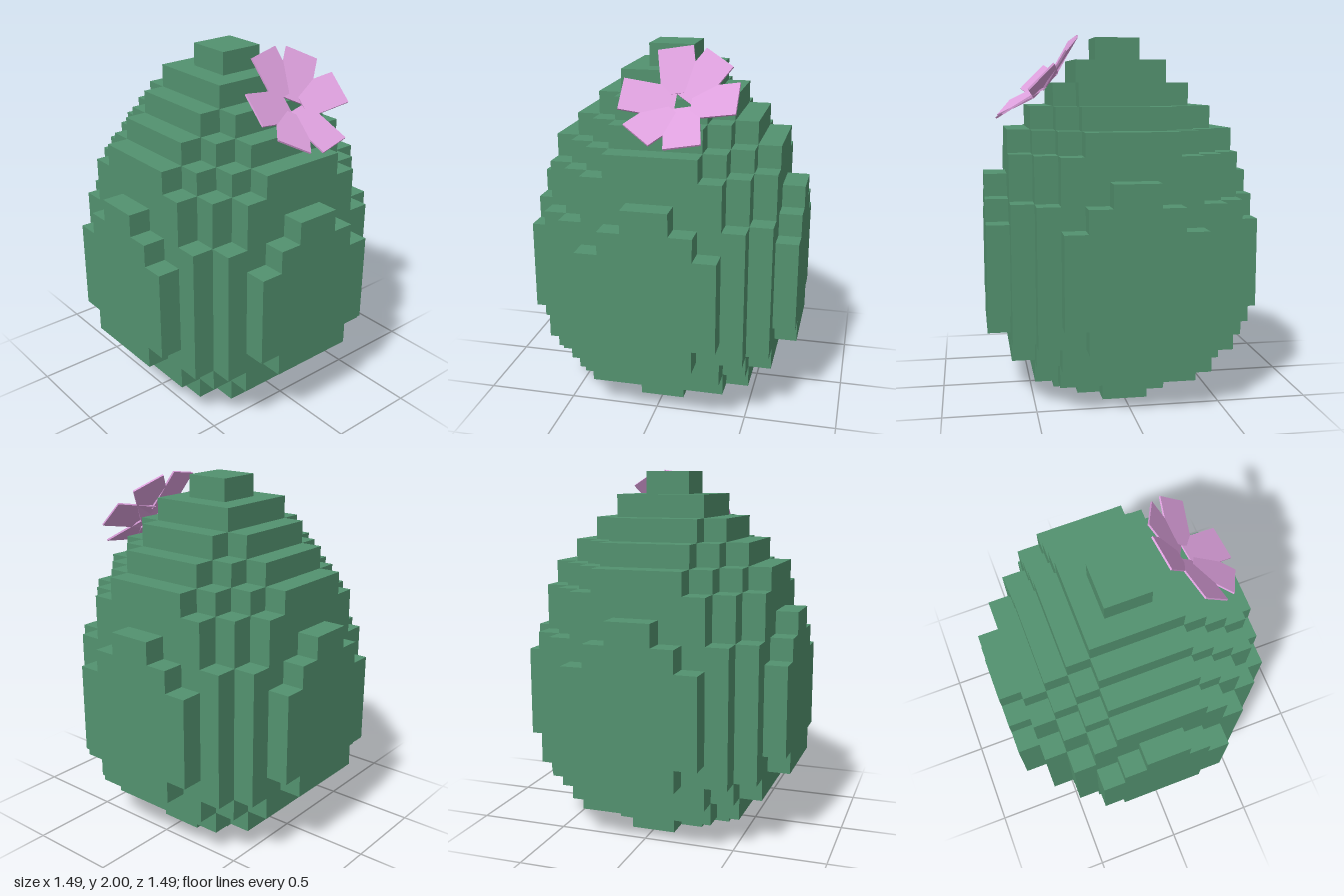
import * as THREE from 'three';

const U = 0.1244; // edge of one block

// Each band: number of block layers, then half widths of the rows outward from the centre line
const BANDS = [
  [1, [3, 2, 1]],
  [1, [4, 4, 4, 3]],
  [1, [5, 5, 5, 4, 3]],
  [1, [6, 6, 5, 5, 4, 2]],
  [4, [6, 6, 6, 5, 4, 3]],
  [1, [6, 6, 5, 5, 4, 2]],
  [1, [6, 5, 5, 4, 3, 1]],
  [1, [5, 5, 5, 4, 3]],
  [1, [5, 5, 4, 3, 2]],
  [1, [4, 4, 3, 2]],
  [1, [3, 3, 2]],
  [1, [2, 2]],
  [1, [1]],
];

// Stepped outline, one quadrant mirrored to four
function steppedShape(rows) {
  const q = [];
  rows.forEach((w, j) => {
    const next = rows[j + 1] ?? 0;
    if (next === w) return;
    q.push([w, j + 1]);
    if (next > 0) q.push([next, j + 1]);
  });
  const r = [...q].reverse();
  const all = [
    ...q,
    ...r.map(([x, y]) => [-x, y]),
    ...q.map(([x, y]) => [-x, -y]),
    ...r.map(([x, y]) => [x, -y]),
  ];
  return new THREE.Shape(all.map(([x, y]) => new THREE.Vector2(x * U, y * U)));
}

export function createModel() {
  const model = new THREE.Group();
  const green = new THREE.MeshStandardMaterial({ color: 0x53926f });
  green.name = 'leaf green';
  const pink = new THREE.MeshStandardMaterial({ color: 0xdda0dd });
  pink.name = 'petal pink';

  // Blocky egg-shaped body
  const body = new THREE.Group();
  body.name = 'body';
  let level = 0;
  for (const [layers, rows] of BANDS) {
    const geo = new THREE.ExtrudeGeometry(steppedShape(rows), { depth: layers * U, bevelEnabled: false });
    geo.rotateX(-Math.PI / 2);
    const band = new THREE.Mesh(geo, green);
    band.name = 'bodyLayer';
    band.position.y = level * U;
    body.add(band);
    level += layers;
  }
  model.add(body);

  // Cupped flower leaning on the upper front
  const flower = new THREE.Group();
  flower.name = 'flower';
  flower.position.set(0.113, 1.72, 0.395);
  flower.rotation.x = -Math.PI / 4;
  const cup = THREE.MathUtils.degToRad(14);
  const tip = 0.314;
  [0, 54, 102, 180, 233, 282].forEach((deg, i) => {
    const inner = i % 2 ? 0.03 : 0.06; // alternate petals reach further in
    const geo = new THREE.BoxGeometry(tip - inner, 0.19, 0.01);
    geo.translate((tip + inner) / 2, 0, 0);
    geo.rotateY(-cup);
    geo.rotateZ(THREE.MathUtils.degToRad(deg));
    const petal = new THREE.Mesh(geo, pink);
    petal.name = 'petal';
    flower.add(petal);
  });
  model.add(flower);
  return model;
}
